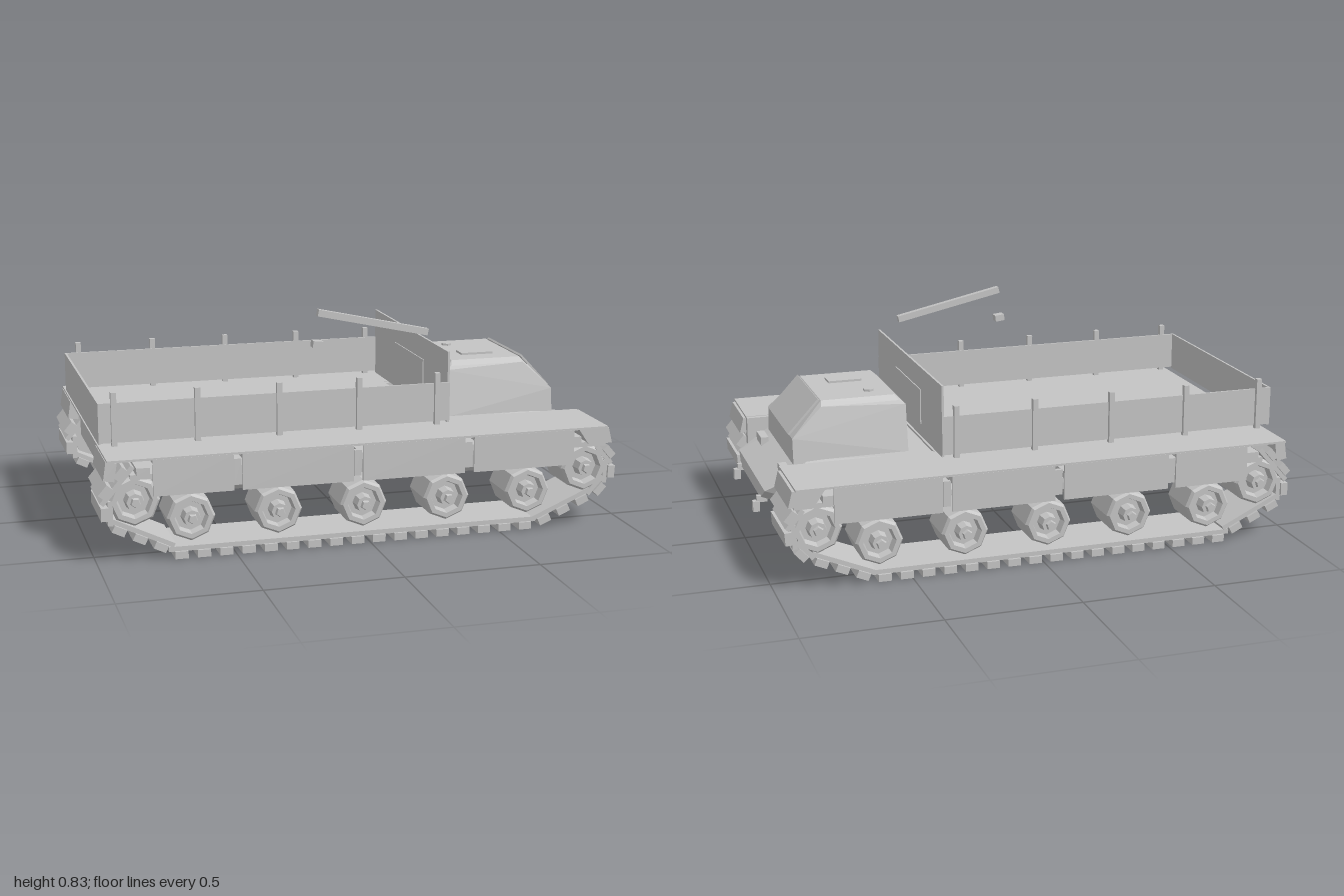
import * as THREE from 'three';
import { ConvexGeometry } from 'three/addons/geometries/ConvexGeometry.js';

const grey = new THREE.MeshStandardMaterial({ color: 0xc4c4c4, flatShading: true });
grey.name = 'plain grey';

export function createModel() {
  const model = new THREE.Group();
  model.name = 'trackedCarrier';

  const add = (name, geometry, parent = model) => {
    const mesh = new THREE.Mesh(geometry, grey);
    mesh.name = name;
    parent.add(mesh);
    return mesh;
  };
  // Box given by its limits on each axis
  const box = (name, x0, x1, y0, y1, z0, z1, parent = model) => {
    const mesh = add(name, new THREE.BoxGeometry(x1 - x0, y1 - y0, z1 - z0), parent);
    mesh.position.set((x0 + x1) / 2, (y0 + y1) / 2, (z0 + z1) / 2);
    return mesh;
  };
  // Convex body from points on one side, mirrored across z
  const mirroredHull = (name, points) => add(name, new ConvexGeometry(
    points.flatMap(([x, y, z]) => [new THREE.Vector3(x, y, z), new THREE.Vector3(x, y, -z)])));

  // Tub hull with sloping bow and stern
  mirroredHull('hull', [
    [-0.78, 0.15, 0.28], [0.62, 0.15, 0.28], [-0.8, 0.168, 0.295], [0.66, 0.168, 0.295],
    [-0.93, 0.25, 0.3], [-0.93, 0.34, 0.315], [0.84, 0.335, 0.315], [0.34, 0.365, 0.3],
    [-0.93, 0.365, 0.3], [0.8, 0.362, 0.23], [0.965, 0.27, 0.265], [0.97, 0.225, 0.2],
  ]);

  // Deck with a notch around the cab
  const deck = new THREE.Shape([
    [-0.96, -0.615], [0.92, -0.615], [0.92, -0.34], [0.34, -0.34],
    [0.34, 0.34], [0.92, 0.34], [0.92, 0.615], [-0.96, 0.615],
  ].map(([x, y]) => new THREE.Vector2(x, y)));
  const deckGeometry = new THREE.ExtrudeGeometry(deck, { depth: 0.008, bevelEnabled: false });
  deckGeometry.rotateX(-Math.PI / 2);
  add('deck', deckGeometry).position.y = 0.373;

  // Cab with sloping windscreen, sides and roof edges
  mirroredHull('cab', [
    [0.415, 0.362, 0.245], [0.85, 0.35, 0.24], [0.85, 0.448, 0.23],
    [0.415, 0.54, 0.215], [0.44, 0.555, 0.21], [0.735, 0.555, 0.21],
    [0.45, 0.572, 0.185], [0.73, 0.572, 0.185],
  ]);
  const windscreen = box('windscreen', -0.085, 0.085, -0.004, 0.004, -0.182, 0.182);
  windscreen.position.set(0.796, 0.513, 0);
  windscreen.rotation.z = -Math.atan2(0.124, 0.115);
  const hatch = add('roofVent', new THREE.CylinderGeometry(0.02, 0.02, 0.012, 6));
  hatch.position.set(0.53, 0.574, -0.105);
  box('roofHatch', 0.52, 0.65, 0.57, 0.58, 0.04, 0.105);

  // Cargo bed: headboard, tailboard, side boards and stakes
  box('headboard', 0.338, 0.346, 0.397, 0.665, -0.457, 0.457);
  box('headboardWindow', 0.334, 0.35, 0.445, 0.58, -0.18, 0.18);
  box('tailboard', -0.965, -0.957, 0.4, 0.55, -0.457, 0.457);
  for (const s of [-1, 1]) {
    const z = s * 0.457;
    box('sideBoard', -0.965, 0.346, 0.405, 0.55, z - 0.004, z + 0.004);
    for (let i = 0; i < 5; i++) {
      const x = -0.91 + i * 0.301;
      box('stake', x - 0.01, x + 0.01, 0.395, 0.59, z + s * 0.008 - 0.01, z + s * 0.008 + 0.01);
    }
  }

  // Detached bar and block above the bed
  const bar = box('raisedBar', -0.217, 0.217, -0.0125, 0.0125, -0.0125, 0.0125);
  bar.position.set(0.075, 0.773, 0.365);
  bar.rotation.z = -0.216;
  const block = box('raisedBlock', -0.019, 0.019, -0.0125, 0.0125, -0.018, 0.018);
  block.position.set(-0.14, 0.703, 0.367);
  block.rotation.z = -0.12;

  // Wheel: eight-sided rim with a recessed face and a hub
  const wheelGeometry = (r, h) => {
    const g = new THREE.LatheGeometry([
      [0, -h], [r, -h], [r, h - 0.012], [r * 0.9, h], [r * 0.7, h], [r * 0.62, h - 0.03],
      [r * 0.4, h - 0.03], [r * 0.34, h + 0.012], [0, h + 0.012],
    ].map(([x, y]) => new THREE.Vector2(x, y)), 8);
    return g.rotateX(Math.PI / 2);
  };
  const roadWheel = wheelGeometry(0.088, 0.085);
  const sprocket = wheelGeometry(0.092, 0.09);

  // Centre line of the track plates
  const path = new THREE.Shape([
    [-0.7, 0.014], [0.64, 0.014], [0.89, 0.12], [0.945, 0.18], [0.95, 0.26], [0.89, 0.33],
    [-0.91, 0.33], [-0.97, 0.26], [-0.97, 0.18], [-0.93, 0.125], [-0.7, 0.014],
  ].map(([x, y]) => new THREE.Vector2(x, y)));
  const linkCount = Math.round(path.getLength() / 0.0815);
  const linkGeometry = new THREE.BoxGeometry(0.048, 0.027, 0.25);
  const beltGeometry = new THREE.BoxGeometry(0.09, 0.018, 0.23);

  // Running gear and skirts, the same on both sides
  for (const s of [1, -1]) {
    const side = new THREE.Group();
    side.name = s > 0 ? 'frontRunningGear' : 'backRunningGear';
    model.add(side);

    for (let i = 0; i < linkCount; i++) {
      const u = i / linkCount;
      const p = path.getPointAt(u);
      const t = path.getTangentAt(u);
      const link = add('trackLink', linkGeometry, side);
      link.position.set(p.x, p.y, s * 0.475);
      link.rotation.z = Math.atan2(t.y, t.x);
      const belt = add('trackBelt', beltGeometry, side);
      belt.position.set(p.x - t.y * 0.021, p.y + t.x * 0.021, s * 0.475);
      belt.rotation.z = link.rotation.z;
    }

    const placeWheel = (name, geometry, x, y, z) => {
      const wheel = add(name, geometry, side);
      wheel.position.set(x, y, s * z);
      wheel.rotation.y = s > 0 ? 0 : Math.PI;
      const nut = add(name + 'Hub', new THREE.CylinderGeometry(0.016, 0.02, 0.012, 5), side);
      nut.rotation.x = s * Math.PI / 2;
      nut.position.set(x, y, s * (z + 0.108));
      const axle = add(name + 'Axle', new THREE.CylinderGeometry(0.025, 0.025, 0.16, 8), side);
      axle.rotation.x = Math.PI / 2;
      axle.position.set(x, y + 0.02, s * 0.36);
    };
    for (let i = 0; i < 5; i++) placeWheel('roadWheel', roadWheel, -0.66 + i * 0.319, 0.146, 0.5);
    placeWheel('driveSprocket', sprocket, 0.842, 0.22, 0.5);
    placeWheel('idlerWheel', sprocket, -0.862, 0.222, 0.5);

    // Side skirt in four panels, the last ones slightly shorter
    for (const [x0, x1] of [[-0.8, -0.51], [-0.48, -0.07], [-0.035, 0.355], [0.39, 0.785]]) {
      box('skirtPanel', x0, x1, 0.242, 0.375, s * 0.612 - 0.004, s * 0.612 + 0.004, side);
    }
    for (const x of [-0.495, -0.052, 0.372]) {
      box('skirtHinge', x - 0.014, x + 0.014, 0.26, 0.355, s * 0.598 - 0.008, s * 0.598 + 0.008, side);
    }

    // Inner rail under the deck edge, and sloping mudguards at both ends
    box('deckRail', -0.9, 0.92, 0.27, 0.379, s * 0.352 - 0.032, s * 0.352 + 0.032, side);
    const guard = new THREE.Shape([[0.81, 0.372], [0.93, 0.372], [0.945, 0.312], [0.85, 0.312]]
      .map(([x, y]) => new THREE.Vector2(x, y)));
    const guardGeometry = new THREE.ExtrudeGeometry(guard, { depth: 0.25, bevelEnabled: false });
    add('frontMudguard', guardGeometry, side).position.z = s * 0.475 - 0.125;
    const rearGuard = box('rearMudguard', -0.02, 0.02, -0.034, 0.034, -0.125, 0.125, side);
    rearGuard.position.set(-0.948, 0.337, s * 0.475);
    rearGuard.rotation.z = -0.15;

    // Headlamp and tow hook on the bow
    box('headlamp', 0.865, 0.895, 0.31, 0.342, s * 0.212 - 0.047, s * 0.212 + 0.047, side);
    box('towHook', 0.975, 1.0, 0.175, 0.215, s * 0.2 - 0.012, s * 0.2 + 0.012, side);
    box('towBracket', 0.945, 0.985, 0.21, 0.235, s * 0.2 - 0.008, s * 0.2 + 0.008, side);
  }

  return model;
}
